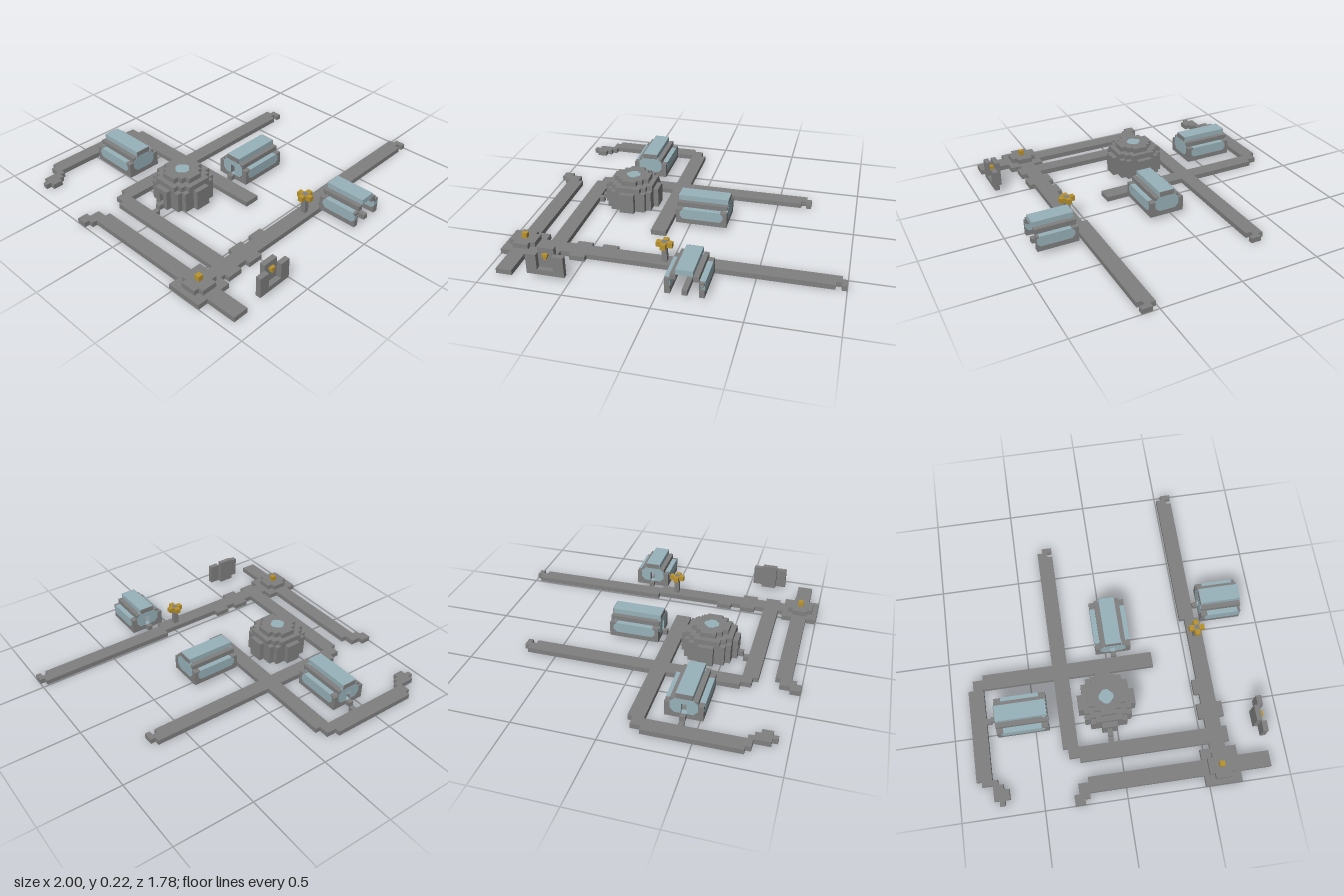
import * as THREE from 'three';

// Everything is laid out on a block grid: x 0..63, z 0..56, y in block levels.
const CELL = 2 / 63;

const mat = (name, color) => Object.assign(new THREE.MeshStandardMaterial({ color }), { name });

export function createModel() {
  const stone = mat('stone grey', 0x808080);
  const glass = mat('pale blue glass', 0x98b2ba);
  const gold = mat('gold', 0xb8922e);

  const root = new THREE.Group();
  root.name = 'settlement';
  const grid = new THREE.Group();
  grid.name = 'blockGrid';
  grid.scale.setScalar(CELL);
  grid.position.set(-1, 0, -28 * CELL);
  root.add(grid);

  const group = (name) => {
    const g = new THREE.Group();
    g.name = name;
    grid.add(g);
    return g;
  };
  const add = (parent, name, geo, material) => {
    const m = new THREE.Mesh(geo, material);
    m.name = name;
    parent.add(m);
    return m;
  };
  // Box given by its two extremes on each axis
  const box = (parent, name, material, x0, x1, y0, y1, z0, z1) => {
    const geo = new THREE.BoxGeometry(x1 - x0, y1 - y0, z1 - z0);
    geo.translate((x0 + x1) / 2, (y0 + y1) / 2, (z0 + z1) / 2);
    return add(parent, name, geo, material);
  };
  const shapeOf = (pts) => new THREE.Shape(pts.map(([x, y]) => new THREE.Vector2(x, y)));
  const doorHole = (y0, y1) =>
    new THREE.Path([[-0.5, y0], [-0.5, y1], [0.5, y1], [0.5, y0]].map(([x, y]) => new THREE.Vector2(x, y)));
  const extrude = (shape, depth) =>
    new THREE.ExtrudeGeometry(shape, { depth, bevelEnabled: false }).translate(0, 0, -depth / 2);
  // Rectangle with cut corners, centred on the origin
  const cutRect = (w, h, c) => {
    const a = w / 2, b = h / 2;
    return shapeOf([[-a + c, -b], [a - c, -b], [a, -b + c], [a, b - c],
      [a - c, b], [-a + c, b], [-a, b - c], [-a, -b + c]]);
  };
  // Round block layer made of one row of blocks per z
  const disc = (parent, name, cx, cz, r2, y0, y1, doorway = false) => {
    const n = Math.floor(Math.sqrt(r2));
    for (let k = -n; k <= n; k++) {
      const w = Math.floor(Math.sqrt(r2 - k * k)) + 0.5;
      const inset = doorway && k === 0 ? 1 : 0;
      box(parent, name, stone, cx - w + inset, cx + w, y0, y1, cz + k - 0.5, cz + k + 0.5);
    }
  };

  // Paths, one block high: x0, x1, z0, z1
  const paths = group('paths');
  const lay = (name, list) =>
    list.forEach(([x0, x1, z0, z1]) => box(paths, name, stone, x0, x1, 0, 1, z0, z1));
  lay('backPath', [[7, 25, 0, 3], [25, 27, 1, 3], [25, 28, 3, 37], [6, 7, 1, 4],
    [5, 6, 3, 5], [3, 5, 3, 6], [2, 3, 4, 5], [18, 19, 3, 4]]);
  lay('middlePath', [[11, 52, 17, 20], [52, 53, 17, 19], [53, 54, 18, 20],
    [9, 11, 18, 20], [8, 11, 20, 49], [11, 12, 26, 27]]);
  lay('sidePath', [[2, 5, 21, 56], [1, 4, 20, 21], [0, 2, 18, 20], [2, 4, 19, 20]]);
  lay('frontPath', [[0, 7, 43, 50], [7, 34, 45, 48], [13, 16, 44, 49], [18, 21, 44, 48],
    [34, 61, 44, 47], [61, 62, 44, 46], [62, 63, 45, 47]]);

  // Round plinth with a gold block
  const plinth = group('plinth');
  disc(plinth, 'plinthStep', 3.5, 46.5, 6, 1, 2);
  box(plinth, 'plinthBlock', gold, 3, 4, 2, 3, 46, 47);

  // Lamp post with four gold arms
  const lamp = group('lampPost');
  box(lamp, 'post', stone, 30, 31, 1, 5, 46, 47);
  for (const [dx, dz] of [[1, 0], [-1, 0], [0, 1], [0, -1]])
    box(lamp, 'lampArm', gold, 30 + dx, 31 + dx, 4, 5, 46 + dz, 47 + dz);

  // Wall niche
  const niche = group('niche');
  for (const x of [8, 13]) box(niche, 'nicheSide', stone, x, x + 2, 1, 5, 55, 56);
  box(niche, 'nicheSill', stone, 10, 13, 1, 2, 55, 56);
  box(niche, 'nicheBack', stone, 10, 13, 1, 6, 54, 55);
  box(niche, 'ornamentTop', gold, 11, 12, 4.5, 5, 55, 55.6);
  box(niche, 'ornamentStem', gold, 11.25, 11.75, 4, 4.5, 55, 55.6);

  // Dome of stacked round layers with a skylight and doorway
  const dome = group('dome');
  disc(dome, 'domeBase', 18.5, 26.5, 27, 1, 2);
  disc(dome, 'domeWall', 18.5, 26.5, 27, 2, 4, true);
  disc(dome, 'domeWallTop', 18.5, 26.5, 27, 4, 5);
  disc(dome, 'domeShoulder', 18.5, 26.5, 21, 5, 6);
  disc(dome, 'domeCap', 18.5, 26.5, 12, 6, 7);
  const skylight = add(dome, 'skylight', extrude(cutRect(2.8, 2.8, 1), 0.08), glass);
  skylight.rotation.x = -Math.PI / 2;
  skylight.position.set(18.5, 7, 26.5);
  box(dome, 'domeStep', stone, 12, 13, 1, 2, 26, 27);

  // Greenhouse: door end at local z = 0, running along +z
  const half = [[3.5, 1], [3.5, 4], [2.5, 4], [2.5, 5], [1.5, 5], [1.5, 6]];
  const profile = [...half, ...half.map(([x, y]) => [-x, y]).reverse()];
  const greenhouse = (name, x, z, len, turn, open) => {
    const g = group(name);
    g.position.set(x, 0, z);
    g.rotation.y = turn;

    const endWall = (zc, door) => {
      const wall = shapeOf(profile);
      const pane = cutRect(5, 3, 0.8);
      if (door) {
        wall.holes.push(doorHole(2, 4));
        pane.holes.push(doorHole(-1.5 + 0.001, 0.5));
      }
      add(g, 'endWall', extrude(wall, 1), stone).position.z = zc;
      add(g, 'endPane', extrude(pane, 1.08), glass).position.set(0, 3.5, zc);
    };
    endWall(0.5, true);
    if (!open) endWall(len - 0.5, false);

    const far = open ? len : len - 0.75;
    for (const s of [-1, 1]) {
      box(g, 'sideWall', stone, s * 3 - 0.5, s * 3 + 0.5, 1, 4, 0, len);
      const pane = add(g, 'sidePane', extrude(cutRect(far - 0.75, 2.04, 0.6), 1.08), glass);
      pane.rotation.y = Math.PI / 2;
      pane.position.set(s * 3, 3.02, (far + 0.75) / 2);
      box(g, 'roofBeam', stone, s * 2 - 0.5, s * 2 + 0.5, 4, 5, 0, len);
    }
    box(g, 'roofPane', glass, -1.54, 1.54, 5, 6.04, 0.1, open ? len : len - 0.1);
    box(g, 'floorBar', stone, -0.5, 0.5, 1, 2, 0.5, open ? len : len - 0.5);
    box(g, 'doorStep', stone, -0.5, 0.5, 1, 2, -1, 0);
  };
  greenhouse('backGreenhouse', 18.5, 5, 10, 0, false);
  greenhouse('middleGreenhouse', 29, 29.5, 10, Math.PI / 2, false);
  greenhouse('frontGreenhouse', 36.5, 48, 8, 0, true);

  return root;
}
